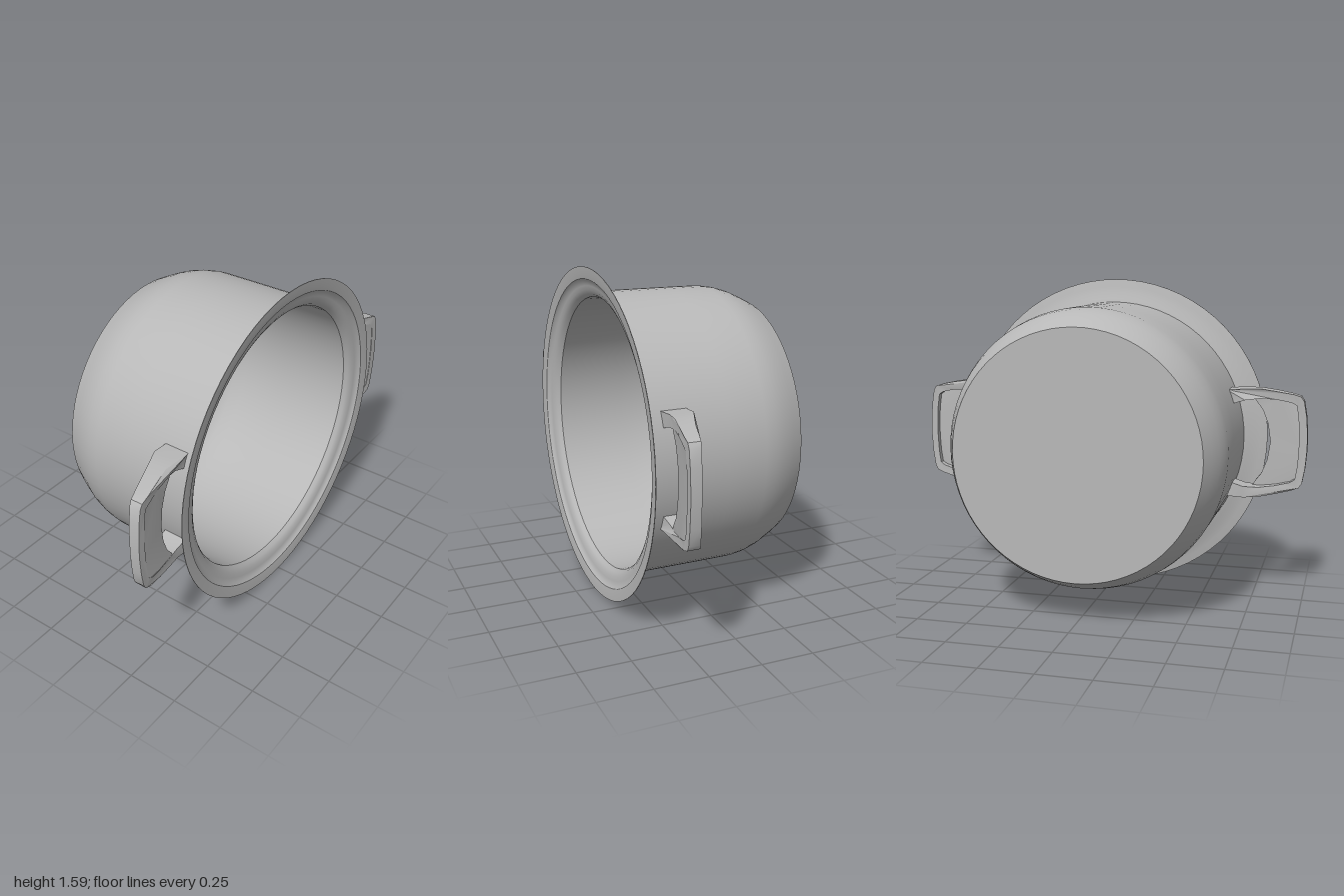
import * as THREE from 'three';
import { toCreasedNormals } from 'three/addons/utils/BufferGeometryUtils.js';

const metal = new THREE.MeshStandardMaterial({ color: 0xb8b8b8 });
metal.name = 'grey metal';

// Round part from [radius, z] points, turned so the axis runs along z
function turned(name, profile) {
  const points = profile.map(([r, z]) => new THREE.Vector2(r, z));
  const geometry = new THREE.LatheGeometry(points, 72).rotateX(Math.PI / 2);
  const mesh = new THREE.Mesh(toCreasedNormals(geometry, 0.6), metal);
  mesh.name = name;
  return mesh;
}

// Piecewise linear lookup through [x, z] stops
function along(stops, x) {
  if (x <= stops[0][0]) return stops[0][1];
  for (let i = 1; i < stops.length; i++) {
    const [x0, z0] = stops[i - 1], [x1, z1] = stops[i];
    if (x <= x1) return z0 + (z1 - z0) * (x - x0) / (x1 - x0);
  }
  return stops[stops.length - 1][1];
}
const front = x => along([[0.6, 0.31], [0.7, 0.3], [0.8, 0.31], [0.9, 0.335], [1, 0.34]], x);
const back = x => along([[0.7, 0.19], [0.77, 0.22], [0.85, 0.25], [1, 0.29]], x);

// Handle piece: outline extruded, then bent between a back and a front surface
function bent(name, outline, zBack, zFront) {
  const shape = new THREE.Shape(outline.map(([x, y]) => new THREE.Vector2(x, y)));
  const geometry = new THREE.ExtrudeGeometry(shape, { depth: 1, bevelEnabled: false });
  const p = geometry.attributes.position;
  for (let i = 0; i < p.count; i++) {
    const x = p.getX(i);
    p.setZ(i, p.getZ(i) > 0.5 ? zFront(x) : zBack(x));
  }
  const mesh = new THREE.Mesh(toCreasedNormals(geometry, 0.6), metal);
  mesh.name = name;
  return mesh;
}

// Completes an upper half path with its mirror image below
const mirrored = half => [...half, ...half.slice().reverse().map(([x, y]) => [x, -y])];

function makeHandle(name) {
  const handle = new THREE.Group();
  handle.name = name;
  const outer = mirrored([[0.61, 0.265], [0.7, 0.27], [0.77, 0.27], [0.85, 0.257], [0.93, 0.24],
    [0.965, 0.228], [0.98, 0.205], [0.993, 0.13], [1, 0.04]]);
  const inner = mirrored([[0.635, 0.195], [0.7, 0.215], [0.77, 0.222], [0.85, 0.215], [0.92, 0.2],
    [0.945, 0.185], [0.955, 0.12], [0.96, 0.04]]);
  // U-shaped frame with arms running into the wall
  handle.add(bent('handleFrame', [...outer, ...inner.reverse()], back, front));
  // Thin grip plate closing the front of the frame
  const grip = mirrored([[0.735, 0.225], [0.77, 0.23], [0.85, 0.22], [0.93, 0.2], [0.965, 0.17], [0.975, 0.05]]);
  const edge = [[0.75, -0.2], [0.78, -0.16], [0.807, -0.09], [0.82, 0], [0.807, 0.09], [0.78, 0.16], [0.75, 0.2]];
  handle.add(bent('handleGrip', [...grip, ...edge], x => front(x) - 0.03, x => front(x) - 0.001));
  handle.position.y = 0.8;
  return handle;
}

export function createModel() {
  const pot = new THREE.Group();
  pot.name = 'cookingPot';

  // Body lying on its side with the opening towards the front
  const body = new THREE.Group();
  body.name = 'potBody';
  body.position.y = 0.8;
  body.add(
    turned('outerWall', [[0, -0.4], [0.592, -0.4], [0.622, -0.345], [0.648, -0.29], [0.665, -0.235],
      [0.673, -0.18], [0.675, 0], [0.677, 0.3], [0.68, 0.365]]),
    turned('flaredRim', [[0.68, 0.365], [0.7, 0.372], [0.73, 0.385], [0.76, 0.392], [0.795, 0.4], [0.795, 0.403],
      [0.76, 0.4], [0.738, 0.396], [0.727, 0.384], [0.705, 0.378], [0.685, 0.374], [0.665, 0.362], [0.652, 0.345]]),
    turned('innerWall', [[0.652, 0.345], [0.652, 0], [0.65, -0.18], [0.64, -0.24], [0.622, -0.3],
      [0.595, -0.35], [0.575, -0.365], [0.54, -0.37], [0, -0.37]])
  );
  pot.add(body);

  // Side handles
  const left = makeHandle('leftHandle');
  const right = makeHandle('rightHandle');
  right.rotation.z = Math.PI;
  pot.add(left, right);
  return pot;
}
